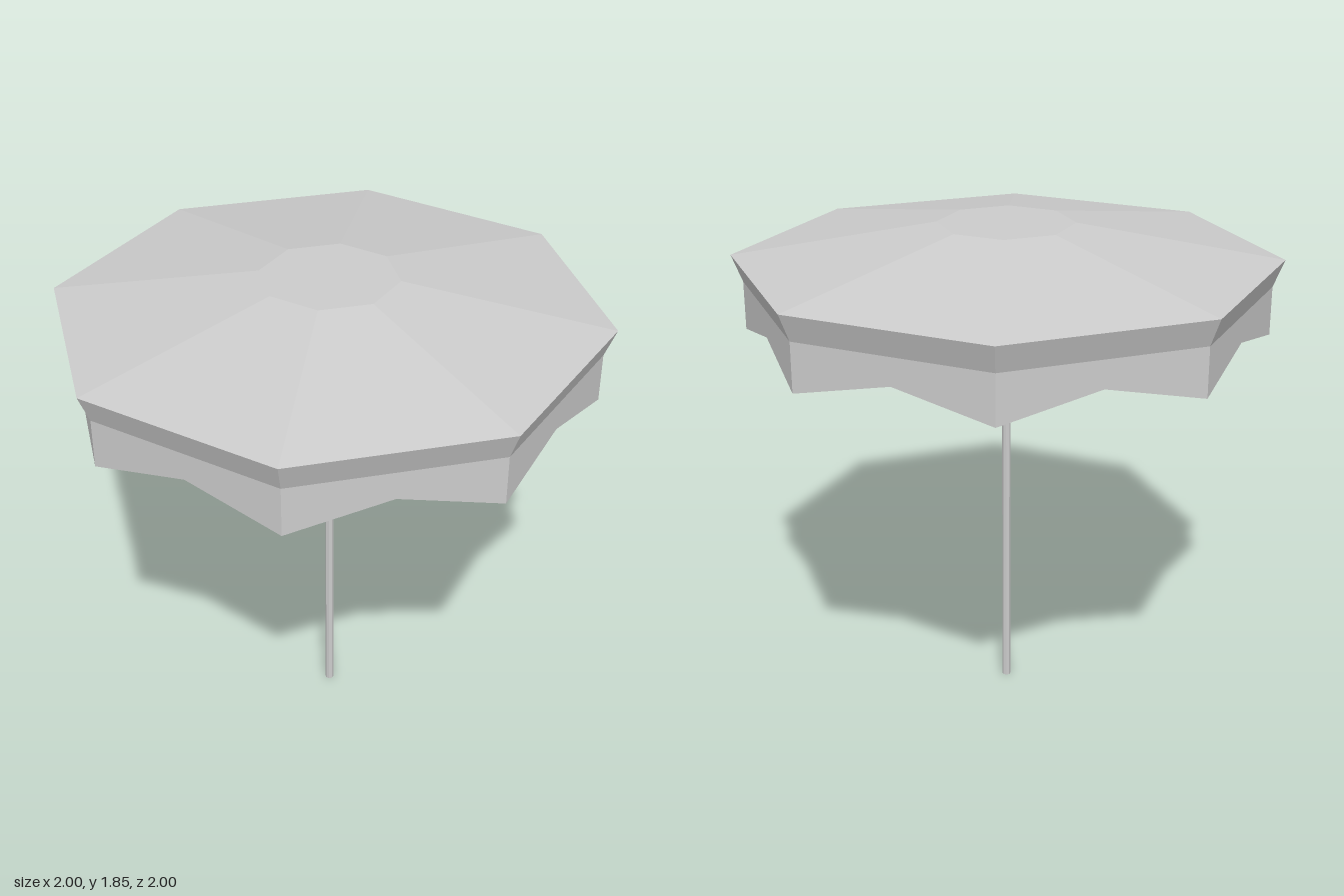
import * as THREE from 'three';

const SIDES = 8;

export function createModel() {
  const group = new THREE.Group();
  const cloth = new THREE.MeshStandardMaterial({ color: 0xcccccc, flatShading: true, side: THREE.DoubleSide });
  const metal = new THREE.MeshStandardMaterial({ color: 0xcccccc, flatShading: true });

  const add = (name, geometry, material) => {
    const mesh = new THREE.Mesh(geometry, material);
    mesh.name = name;
    group.add(mesh);
    return mesh;
  };

  // Octagonal canopy: inward-sloping rim, shallow roof, flat crown
  const profile = [[0.96, 1.62], [1, 1.72], [0.25, 1.85], [0, 1.85]];
  add('canopy', new THREE.LatheGeometry(profile.map(([r, y]) => new THREE.Vector2(r, y)), SIDES), cloth);

  // Hanging valance: two columns per side, the middle one flattened and cut higher
  const valance = new THREE.CylinderGeometry(0.96, 0.96, 0.18, SIDES * 2, 1, true);
  valance.translate(0, 1.53, 0);
  const pos = valance.attributes.position;
  const flat = Math.cos(Math.PI / SIDES);
  for (let i = 0; i < pos.count; i++) {
    const column = i % (SIDES * 2 + 1);
    if (column % 2 === 0) continue;
    const y = pos.getY(i) < 1.5 ? 1.52 : pos.getY(i);
    pos.setXYZ(i, pos.getX(i) * flat, y, pos.getZ(i) * flat);
  }
  add('valance', valance, cloth);

  // Slim pole reaching up to the crown
  add('pole', new THREE.CylinderGeometry(0.016, 0.016, 1.845, SIDES), metal).position.y = 0.9225;

  return group;
}
